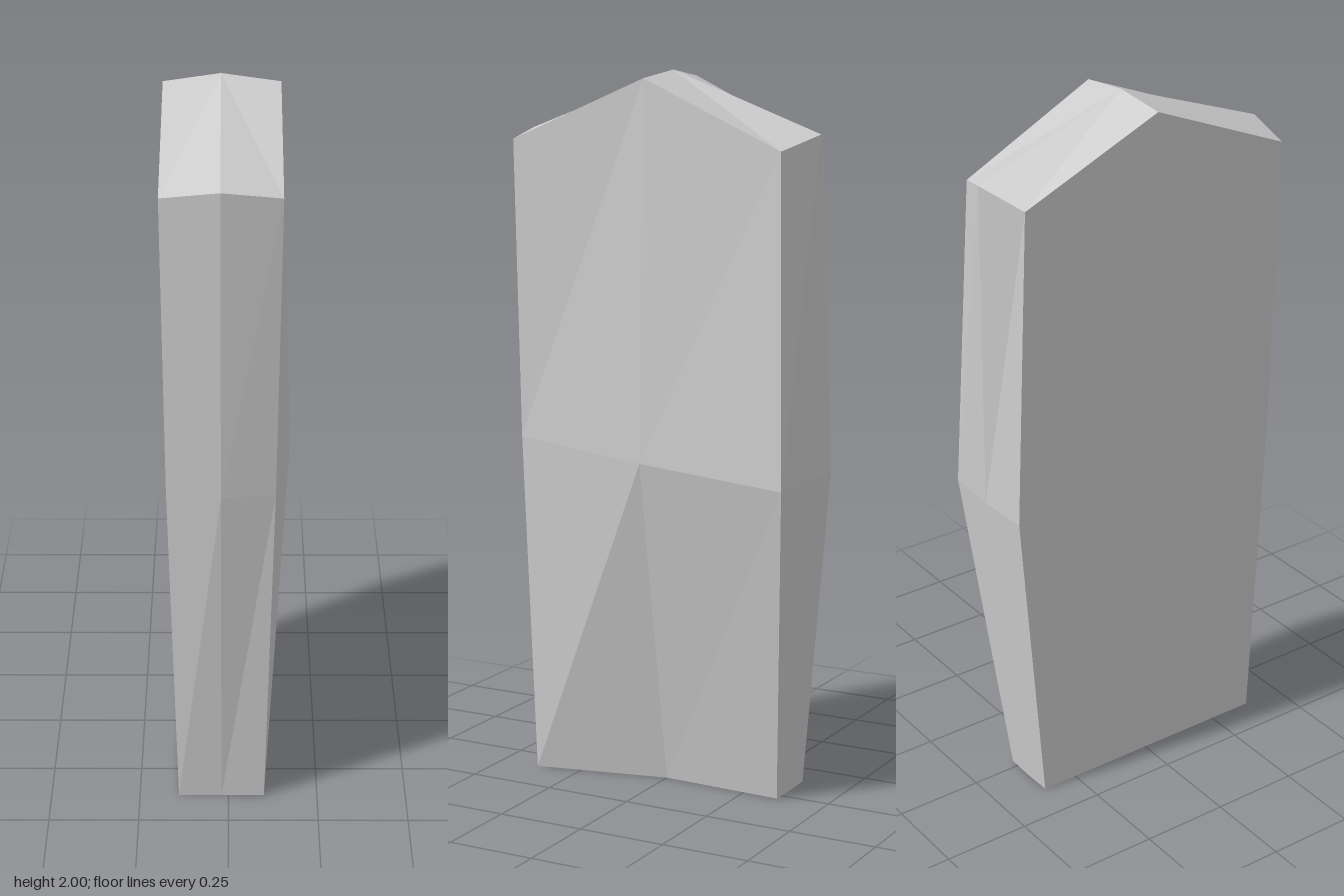
import * as THREE from 'three';

// Horizontal rings, bottom to top. Each runs front centre, front left, left middle,
// back left, back centre, back right, right middle, front right (the model's own sides).
const RINGS = [
  [[-0.02, 0, 0.38], [0.10, 0, 0.38], [0.015, 0, 0], [0.028, 0, -0.355],
    [-0.055, 0, -0.357], [-0.14, 0, -0.355], [-0.14, 0, 0.01], [-0.14, 0, 0.38]],
  [[-0.02, 0.98, 0.435], [0.125, 0.975, 0.405], [0.172, 0.94, 0], [0.163, 0.9, -0.425],
    [0.01, 0.9, -0.433], [-0.147, 0.9, -0.428], [-0.158, 0.94, 0], [-0.165, 0.975, 0.405]],
  [[-0.02, 1.835, 0.445], [0.138, 1.81, 0.415], [0.137, 1.98, 0.005], [0.117, 1.795, -0.394],
    [-0.02, 1.835, -0.446], [-0.152, 1.795, -0.393], [-0.172, 1.98, 0.005], [-0.175, 1.81, 0.415]],
];
const N = 8;

export function createModel() {
  const positions = [];
  const tri = (a, b, c) => positions.push(...a, ...b, ...c);
  const quad = (a, b, c, d) => { tri(a, b, c); tri(a, c, d); };

  // Walls between neighbouring rings
  for (let r = 0; r < RINGS.length - 1; r++) {
    const low = RINGS[r], high = RINGS[r + 1];
    for (let i = 0; i < N; i++) {
      const j = (i + 1) % N;
      quad(low[i], low[j], high[j], high[i]);
    }
  }

  // Pitched top: four slopes meeting at the middle of the ridge
  const top = RINGS[2], ridge = [-0.02, 2, -0.002];
  for (let i = 0; i < N; i += 2) {
    quad(ridge, top[i], top[i + 1], top[(i + 2) % N]);
    // the second half of each slope pair shares the ridge, so the fan is closed
  }

  // Flat underside
  const base = RINGS[0], centre = [-0.06, 0, 0];
  for (let i = 0; i < N; i++) tri(centre, base[(i + 1) % N], base[i]);

  const geometry = new THREE.BufferGeometry();
  geometry.setAttribute('position', new THREE.Float32BufferAttribute(positions, 3));
  geometry.computeVertexNormals();

  const slab = new THREE.Mesh(
    geometry,
    new THREE.MeshStandardMaterial({ color: 0xcccccc, flatShading: true }),
  );
  slab.name = 'stoneSlab';

  const group = new THREE.Group();
  group.name = 'standingStone';
  group.add(slab);
  return group;
}
